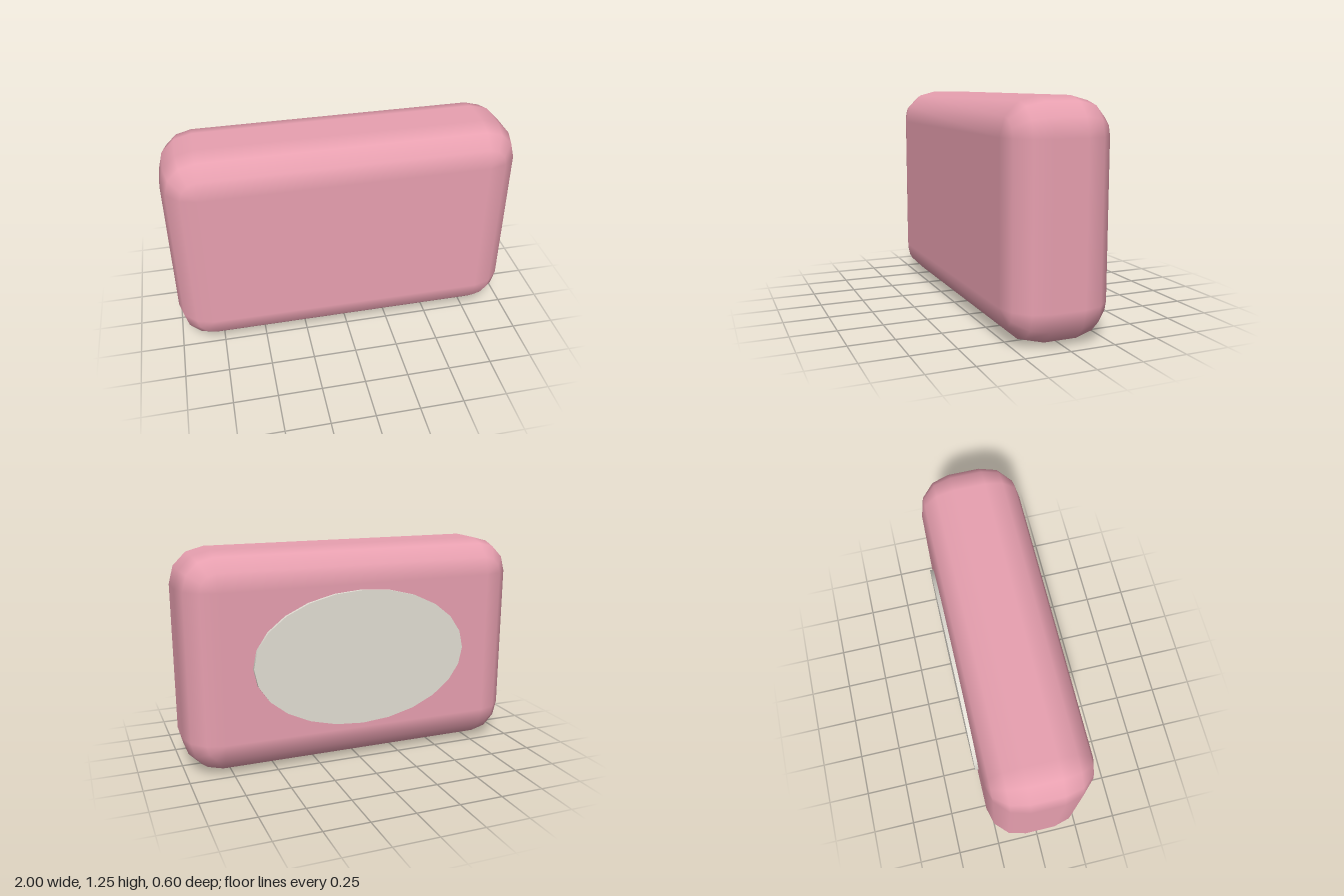
import * as THREE from 'three';

const R = 0.2, STEPS = 3; // edge radius, facets per quarter turn

// Box with rounded edges: a sphere split into eight corners that are pushed apart
function roundedBlock(w, h, d) {
  const pos = [], nor = [], idx = [];
  const n = STEPS + 1, cols = 4 * n, rows = 2 * n;
  const quarter = Math.PI / 2;
  for (let r = 0; r < rows; r++) {
    const front = r < n;
    const polar = ((front ? r : r - 1) / STEPS) * quarter;
    for (let c = 0; c < cols; c++) {
      const corner = Math.floor(c / n);
      const a = (corner + (c % n) / STEPS) * quarter;
      const dir = [Math.sin(polar) * Math.cos(a), Math.sin(polar) * Math.sin(a), Math.cos(polar)];
      const sx = corner === 0 || corner === 3 ? 1 : -1;
      const sy = corner < 2 ? 1 : -1;
      const sz = front ? 1 : -1;
      pos.push(
        sx * (w / 2 - R) + R * dir[0],
        sy * (h / 2 - R) + R * dir[1],
        sz * (d / 2 - R) + R * dir[2]
      );
      nor.push(...dir);
    }
  }
  for (let r = 0; r < rows - 1; r++) {
    for (let c = 0; c < cols; c++) {
      const a = r * cols + c, b = r * cols + (c + 1) % cols;
      idx.push(a, a + cols, b + cols, a, b + cols, b);
    }
  }
  // flat front and back faces
  const k = (rows - 1) * cols;
  idx.push(0, n, 2 * n, 0, 2 * n, 3 * n);
  idx.push(k, k + 2 * n, k + n, k, k + 3 * n, k + 2 * n);
  const g = new THREE.BufferGeometry();
  g.setAttribute('position', new THREE.Float32BufferAttribute(pos, 3));
  g.setAttribute('normal', new THREE.Float32BufferAttribute(nor, 3));
  g.setIndex(idx);
  return g;
}

export function createModel() {
  const group = new THREE.Group();
  group.name = 'roundedBlockWithPatch';

  const pink = new THREE.MeshStandardMaterial({ color: 0xe8a0b0 });
  pink.name = 'pink';
  const paleGrey = new THREE.MeshStandardMaterial({ color: 0xe2ded4 });
  paleGrey.name = 'paleGrey';

  // Soft-edged body
  const body = new THREE.Mesh(roundedBlock(2, 1.245, 0.58), pink);
  body.name = 'body';
  body.position.set(0, 0.6225, 0.01);
  group.add(body);

  // Oval patch on the back
  const oval = new THREE.CylinderGeometry(1, 1, 0.03, 24);
  oval.rotateX(-Math.PI / 2);
  oval.scale(0.635, 0.39, 1);
  const patch = new THREE.Mesh(oval, paleGrey);
  patch.name = 'backPatch';
  patch.position.set(0, 0.6225, -0.285);
  group.add(patch);

  return group;
}
